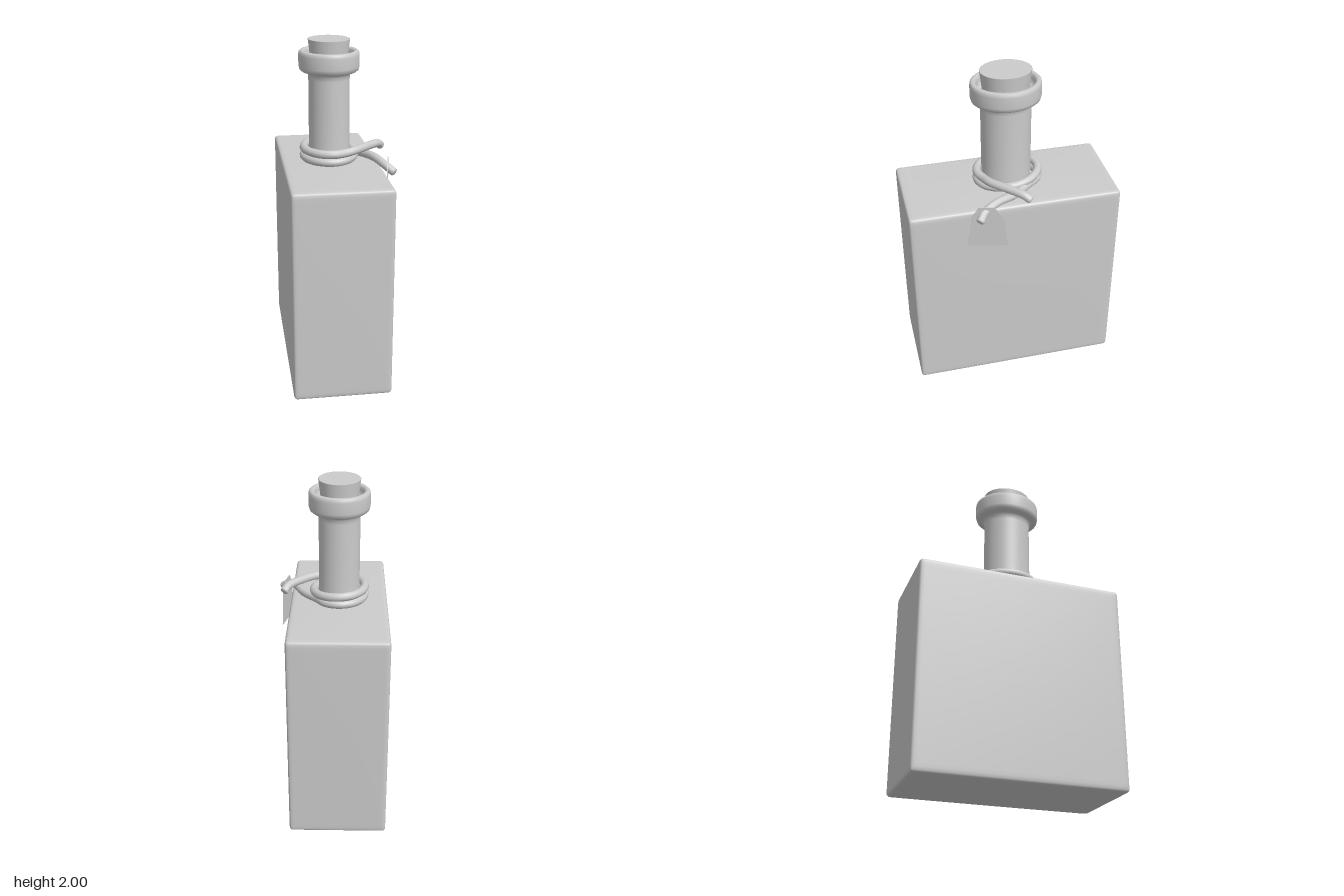
import * as THREE from 'three';
import { mergeVertices } from 'three/addons/utils/BufferGeometryUtils.js';

const CX = -0.04; // axis of the bottle
const grey = new THREE.MeshStandardMaterial({ color: 0xcccccc });
const greyDouble = new THREE.MeshStandardMaterial({ color: 0xcccccc, side: THREE.DoubleSide });

function part(name, geometry, material = grey) {
  const mesh = new THREE.Mesh(geometry, material);
  mesh.name = name;
  return mesh;
}

// Soft box with rounded edges and slightly pillowed faces
function pillowBox(half, radius, bulge) {
  const seg = 30;
  let g = new THREE.BoxGeometry(2, 2, 2, seg, seg, seg);
  g.deleteAttribute('uv');
  g.deleteAttribute('normal');
  g = mergeVertices(g);
  const pos = g.attributes.position;
  const p = new THREE.Vector3(), q = new THREE.Vector3();
  const inner = half.clone().subScalar(radius);
  const fall = (v, h) => 1 - Math.min(1, (v / h) ** 2);
  for (let i = 0; i < pos.count; i++) {
    p.fromBufferAttribute(pos, i);
    // crowd the grid lines towards the edges
    p.set(...p.toArray().map(v => Math.sin(v * Math.PI / 2))).multiply(half);
    q.copy(p).clamp(inner.clone().negate(), inner);
    p.sub(q).normalize().multiplyScalar(radius).add(q);
    const fx = fall(p.x, half.x), fy = fall(p.y, half.y), fz = fall(p.z, half.z);
    pos.setXYZ(i,
      p.x * (1 + bulge.x / half.x * fy * fz),
      p.y * (1 + bulge.y / half.y * fx * fz),
      p.z * (1 + bulge.z / half.z * fx * fy));
  }
  g.computeVertexNormals();
  return g;
}

// Lathe narrowed in x by a constant offset, giving an oval section
function ovalLathe(profile, narrow = 0.026) {
  const g = new THREE.LatheGeometry(profile.map(([r, y]) => new THREE.Vector2(r, y)), 48);
  const pos = g.attributes.position;
  for (let i = 0; i < pos.count; i++) {
    const x = pos.getX(i), r = Math.hypot(x, pos.getZ(i));
    if (r > narrow) pos.setX(i, x * (r - narrow) / r);
  }
  g.translate(CX, 0, 0);
  return g;
}

export function createModel() {
  const group = new THREE.Group();
  group.name = 'bottle';

  // Body
  const body = part('body', pillowBox(new THREE.Vector3(0.288, 0.632, 0.63),
    0.022, new THREE.Vector3(0.003, 0.008, 0.002)));
  body.position.set(CX, 0.64, 0);
  group.add(body);

  // Neck with rolled collar
  group.add(part('neck', ovalLathe([
    [0.155, 1.27], [0.147, 1.3], [0.147, 1.5], [0.147, 1.77], [0.15, 1.795], [0.16, 1.808],
    [0.185, 1.814], [0.198, 1.824], [0.204, 1.845], [0.204, 1.91], [0.201, 1.927],
    [0.193, 1.935], [0.178, 1.935], [0.169, 1.927], [0.165, 1.91], [0.16, 1.87], [0.1, 1.86],
  ]), greyDouble));

  // Tapered stopper
  group.add(part('stopper', ovalLathe([
    [0.13, 1.8], [0.136, 1.9], [0.148, 1.998], [0.146, 2], [0, 2],
  ])));

  // Cord: one loose end, two turns around the neck, then out to the tag
  const points = [[0.285, 1.335, -0.065], [0.265, 1.355, -0.035], [0.2, 1.363, 0.035], [0.1, 1.36, 0.125]];
  const turns = 2, perTurn = 12;
  for (let i = 2; i <= turns * perTurn - 1; i++) {
    const a = i / perTurn * Math.PI * 2;
    const t = THREE.MathUtils.smoothstep(i, 8, 15);
    points.push([CX + 0.152 * Math.cos(a), 1.352 - 0.048 * t, -0.007 + 0.183 * Math.sin(a)]);
  }
  points.push([0.175, 1.305, 0.0], [0.225, 1.305, 0.11], [0.27, 1.28, 0.195], [0.312, 1.25, 0.232]);
  const path = new THREE.CatmullRomCurve3(points.map(p => new THREE.Vector3(...p)));
  const cord = new THREE.Group();
  cord.name = 'cord';
  const cordRadius = 0.025;
  cord.add(part('cordStrand', new THREE.TubeGeometry(path, 200, cordRadius, 12)));
  for (const t of [0, 1]) {
    const end = part('cordEnd', new THREE.SphereGeometry(cordRadius, 12, 8));
    end.position.copy(path.getPoint(t));
    // flattened along the strand
    end.quaternion.setFromUnitVectors(new THREE.Vector3(0, 1, 0), path.getTangent(t));
    end.scale.y = 0.4;
    cord.add(end);
  }
  group.add(cord);

  // Paper tag with clipped corners and an eyelet
  const outline = [[-0.112, 1.05], [0.122, 1.05], [0.098, 1.25], [0.045, 1.32], [-0.042, 1.32], [-0.085, 1.25]];
  const shape = new THREE.Shape(outline.map(([u, y]) => new THREE.Vector2(u, y)));
  shape.holes.push(new THREE.Path().absarc(-0.005, 1.28, 0.025, 0, Math.PI * 2, true));
  const tag = part('tag', new THREE.ExtrudeGeometry(shape,
    { depth: 0.004, bevelEnabled: false, curveSegments: 12 }), greyDouble);
  tag.position.set(0.281, 0, 0.19);
  tag.rotation.y = 1.346;
  group.add(tag);

  return group;
}
